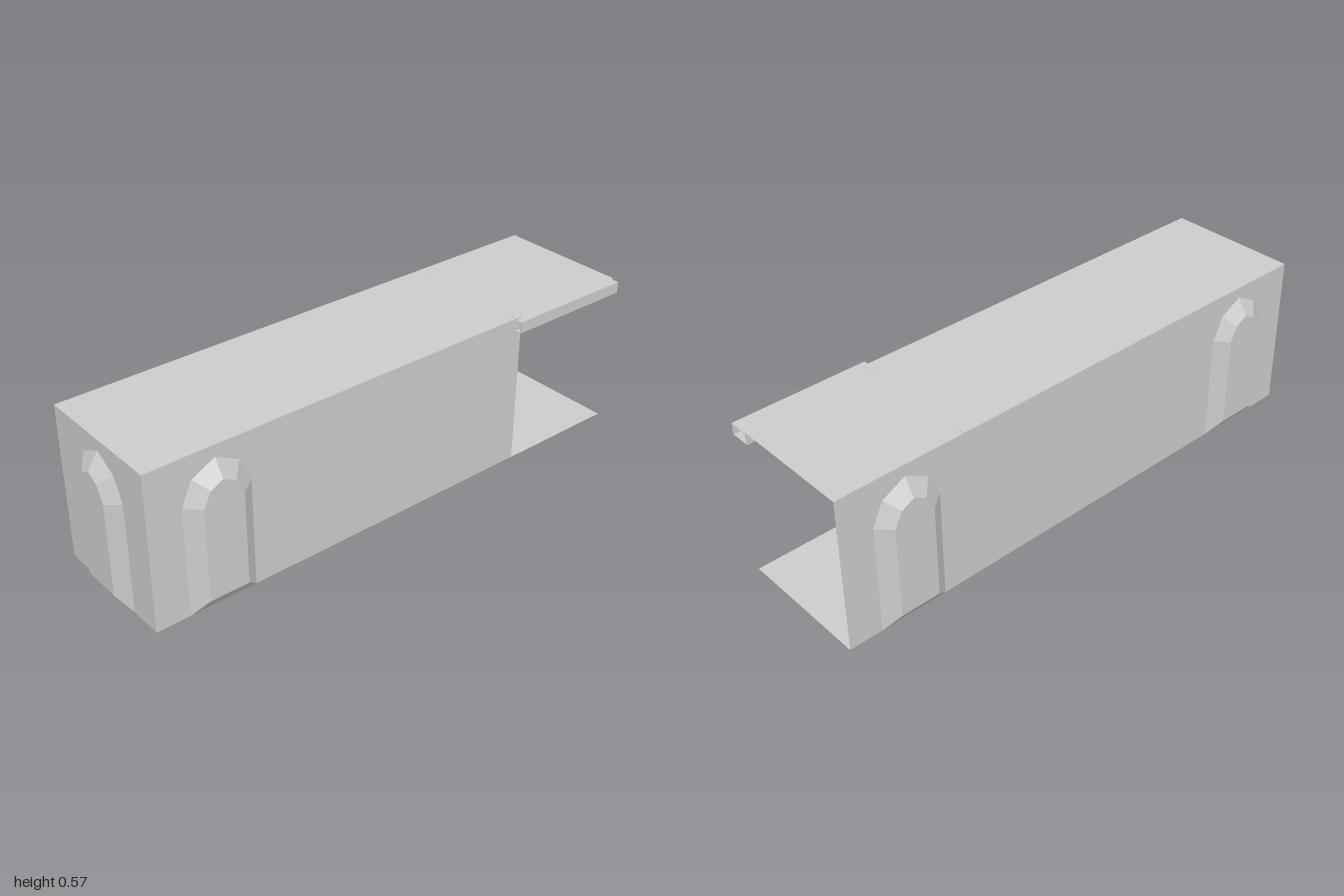
import * as THREE from 'three';

const H = 0.565, Z = 0.245, X0 = -0.964, X1 = 0.996, OPEN = 0.53, DEPTH = 0.037;
const grey = new THREE.MeshStandardMaterial({ color: 0xcccccc, flatShading: true, side: THREE.DoubleSide });
const white = new THREE.MeshStandardMaterial({ color: 0xffffff, side: THREE.DoubleSide });

// pointed arch outlines, counter-clockwise from bottom right
const mirrorArch = (half) => [...half, ...half.filter(p => p[0] > 0).reverse().map(([x, y]) => [-x, y])];
const outer = mirrorArch([[0.123, 0], [0.123, 0.398], [0.084, 0.481], [0, 0.524]]);
const inner = mirrorArch([[0.072, 0.052], [0.072, 0.388], [0.045, 0.443], [0, 0.466]]);

function mesh(name, geometry, material = grey) {
  const m = new THREE.Mesh(geometry, material);
  m.name = name;
  return m;
}

function box(name, x0, x1, y0, y1, z0, z1) {
  const m = mesh(name, new THREE.BoxGeometry(x1 - x0, y1 - y0, z1 - z0));
  m.position.set((x0 + x1) / 2, (y0 + y1) / 2, (z0 + z1) / 2);
  return m;
}

// bevelled alcove that bulges out of the wall
function alcove(u) {
  const pos = [], n = outer.length;
  for (let i = 0; i < n; i++) {
    const j = (i + 1) % n;
    const a = [...outer[i], 0], b = [...outer[j], 0];
    const c = [...inner[j], DEPTH], d = [...inner[i], DEPTH];
    pos.push(...a, ...b, ...c, ...a, ...c, ...d);
  }
  const sides = new THREE.BufferGeometry();
  sides.setAttribute('position', new THREE.Float32BufferAttribute(pos, 3));
  sides.computeVertexNormals();
  const panel = new THREE.ShapeGeometry(new THREE.Shape(inner.map(p => new THREE.Vector2(...p))));
  panel.translate(0, 0, DEPTH);
  const g = new THREE.Group();
  g.name = 'alcove';
  g.add(mesh('alcoveSides', sides), mesh('alcovePanel', panel));
  g.position.x = u;
  return g;
}

// thin wall from u0 to u1, cut open at each alcove centre (ascending)
function wall(name, u0, u1, centres) {
  const pts = [[u0, 0]];
  for (const c of centres) {
    for (const [x, y] of [...outer].reverse()) pts.push([c + x, y]);
  }
  pts.push([u1, 0], [u1, H], [u0, H]);
  const g = new THREE.Group();
  g.name = name;
  g.add(mesh('wallPanel', new THREE.ShapeGeometry(new THREE.Shape(pts.map(p => new THREE.Vector2(...p))))));
  for (const c of centres) g.add(alcove(c));
  return g;
}

function slab(name, y, up) {
  const m = mesh(name, new THREE.PlaneGeometry(X1 - X0, 2 * Z));
  m.rotation.x = up ? -Math.PI / 2 : Math.PI / 2;
  m.position.set((X0 + X1) / 2, y, 0);
  return m;
}

export function createModel() {
  const model = new THREE.Group();
  model.name = 'corridor';

  // shell: open at the left end and along the front of the last bay
  const front = wall('frontWall', X0, OPEN, [-0.72]);
  front.position.z = Z;
  const back = wall('backWall', -X1, -X0, [-0.752, 0.72]);
  back.rotation.y = Math.PI;
  back.position.z = -Z;
  const end = wall('endWall', -Z, Z, [0]);
  end.rotation.y = -Math.PI / 2;
  end.position.x = X0;
  model.add(front, back, end, slab('floor', 0, false), slab('ceiling', H, true));

  // door frame between corridor and open bay
  const frame = new THREE.Group();
  frame.name = 'doorFrame';
  for (const s of [-1, 1]) {
    frame.add(box('post', 0.505, OPEN, 0.004, H + 0.001, s * 0.219 - 0.025, s * 0.219 + 0.025));
  }
  frame.add(box('lintel', 0.505, OPEN, 0.527, 0.56, -0.194, 0.194));
  model.add(frame);

  // hollow rectangular header above the front opening
  const rect = (Type, w, h) => new Type([[-w, -h], [w, -h], [w, h], [-w, h]].map(p => new THREE.Vector2(...p)));
  const section = rect(THREE.Shape, 0.0375, 0.0205);
  section.holes.push(rect(THREE.Path, 0.0335, 0.0185));
  const header = new THREE.Group();
  header.name = 'header';
  header.add(mesh('headerTube', new THREE.ExtrudeGeometry(section, { depth: 0.49, bevelEnabled: false })));
  const cap = mesh('headerInnerPanel', new THREE.PlaneGeometry(0.067, 0.037), white);
  cap.position.z = 0.02;
  header.add(cap);
  header.rotation.y = Math.PI / 2;
  header.position.set(0.505, 0.539, 0.232);
  model.add(header);

  return model;
}
